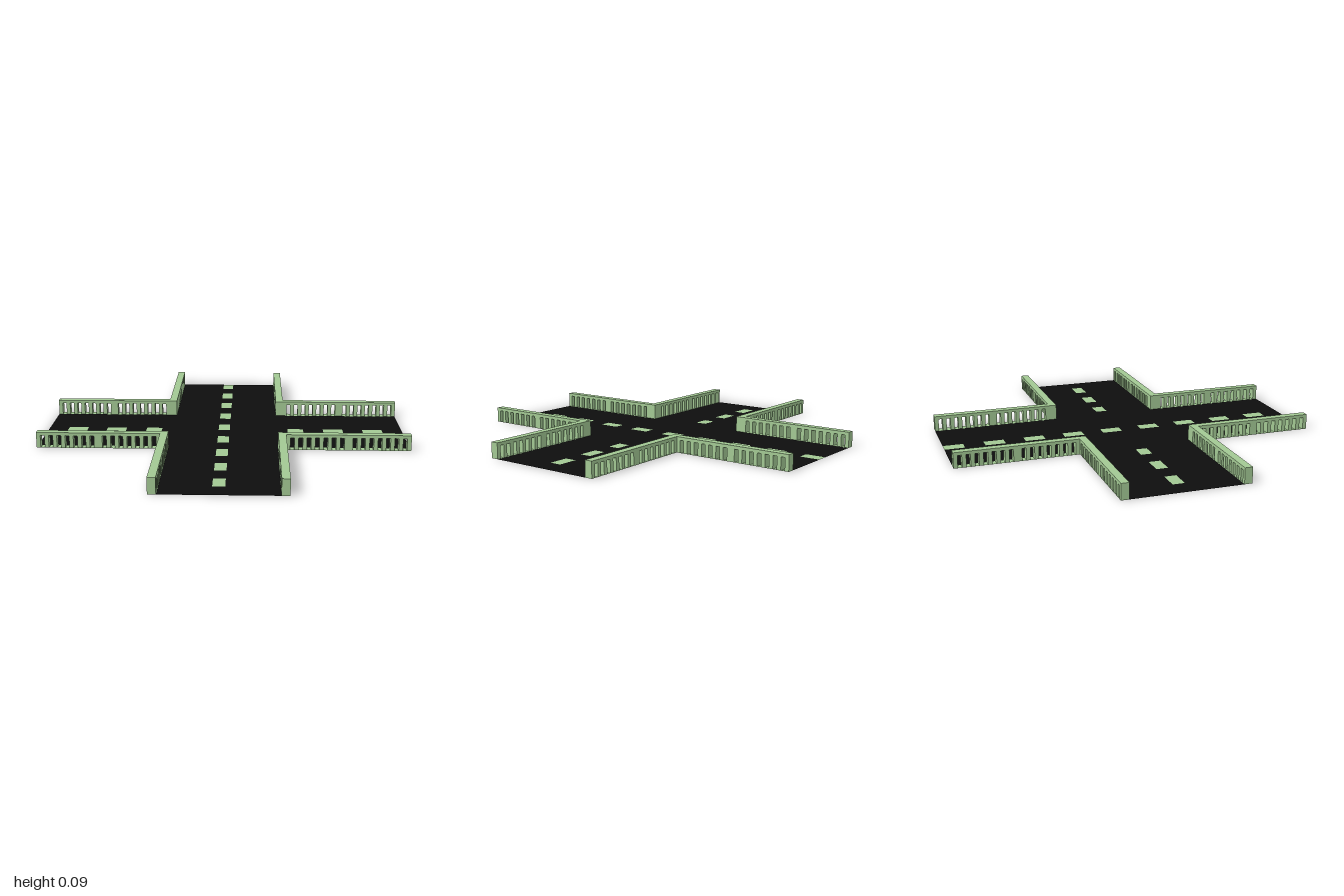
import * as THREE from 'three';

const INNER = 0.294, OUTER = 0.336, END = 1, HEIGHT = 0.085, GAP_TOP = 0.068;

const green = new THREE.MeshStandardMaterial({ color: 0xa3c994, side: THREE.DoubleSide });
const black = new THREE.MeshStandardMaterial({ color: 0x0d0d0d, side: THREE.DoubleSide });

function named(name, geometry, material) {
  const mesh = new THREE.Mesh(geometry, material);
  mesh.name = name;
  return mesh;
}

// Flat shape given in (x, z), laid on the ground
function flat(shape) {
  return new THREE.ShapeGeometry(shape).rotateX(Math.PI / 2);
}

function rectPoints(x0, x1, z0, z1) {
  return [[x0, z0], [x1, z0], [x1, z1], [x0, z1]].map(([x, z]) => new THREE.Vector2(x, z));
}

// Comb-shaped railing along x: two panels, each with seven openings between bars
function railing(start) {
  const panel = (END - OUTER) / 2, bar = panel / 15;
  const shape = new THREE.Shape();
  shape.moveTo(start, HEIGHT);
  shape.lineTo(start, 0);
  for (let p = 0; p < 2; p++) {
    for (let i = 0; i < 7; i++) {
      const x = OUTER + p * panel + (2 * i + 1) * bar;
      shape.lineTo(x, 0);
      shape.lineTo(x, GAP_TOP);
      shape.lineTo(x + bar, GAP_TOP);
      shape.lineTo(x + bar, 0);
    }
  }
  shape.lineTo(END, 0);
  shape.lineTo(END, HEIGHT);
  return new THREE.ExtrudeGeometry(shape, { depth: OUTER - INNER, bevelEnabled: false });
}

// One L-shaped corner of railings on a thin footing
function cornerRailing() {
  const corner = new THREE.Group();
  const alongX = named('railingAlongX', railing(INNER), green);
  alongX.position.z = INNER;
  const alongZ = named('railingAlongZ', railing(OUTER), green);
  alongZ.rotation.y = -Math.PI / 2;
  alongZ.position.x = OUTER;
  const outline = [[INNER, INNER], [END, INNER], [END, OUTER], [OUTER, OUTER], [OUTER, END], [INNER, END]];
  const footing = new THREE.Shape(outline.map(([x, z]) => new THREE.Vector2(x, z)));
  corner.add(alongX, alongZ, named('railingFooting', flat(footing), green));
  return corner;
}

export function createModel() {
  const model = new THREE.Group();
  model.name = 'crossroads';

  // Lane dashes as [x0, x1, z0, z1]
  const dashes = [
    [-0.89, -0.78, -0.035, 0.028], [-0.67, -0.56, -0.035, 0.028], [-0.445, -0.357, -0.035, 0.028],
    [0.355, 0.444, -0.03, 0.033], [0.556, 0.667, -0.03, 0.033], [0.778, 0.889, -0.03, 0.033],
  ];
  for (let i = 0; i < 9; i++) {
    const z = -1 + i * 0.2222;
    dashes.push([-0.035, 0.028, z + (i ? 0 : 0.0005), z + 0.111]);
  }

  // Cross-shaped road with the dashes inlaid flush
  const r = INNER, e = END;
  const cross = new THREE.Shape([
    [r, -e], [r, -r], [e, -r], [e, r], [r, r], [r, e],
    [-r, e], [-r, r], [-e, r], [-e, -r], [-r, -r], [-r, -e],
  ].map(([x, z]) => new THREE.Vector2(x, z)));
  const markings = new THREE.Group();
  markings.name = 'laneMarkings';
  for (const d of dashes) {
    cross.holes.push(new THREE.Path(rectPoints(...d)));
    markings.add(named('laneDash', flat(new THREE.Shape(rectPoints(...d))), green));
  }
  model.add(named('road', flat(cross), black), markings);

  // Railings around all four corners
  for (let k = 0; k < 4; k++) {
    const corner = cornerRailing();
    corner.name = 'cornerRailing';
    corner.rotation.y = k * Math.PI / 2;
    model.add(corner);
  }
  return model;
}
